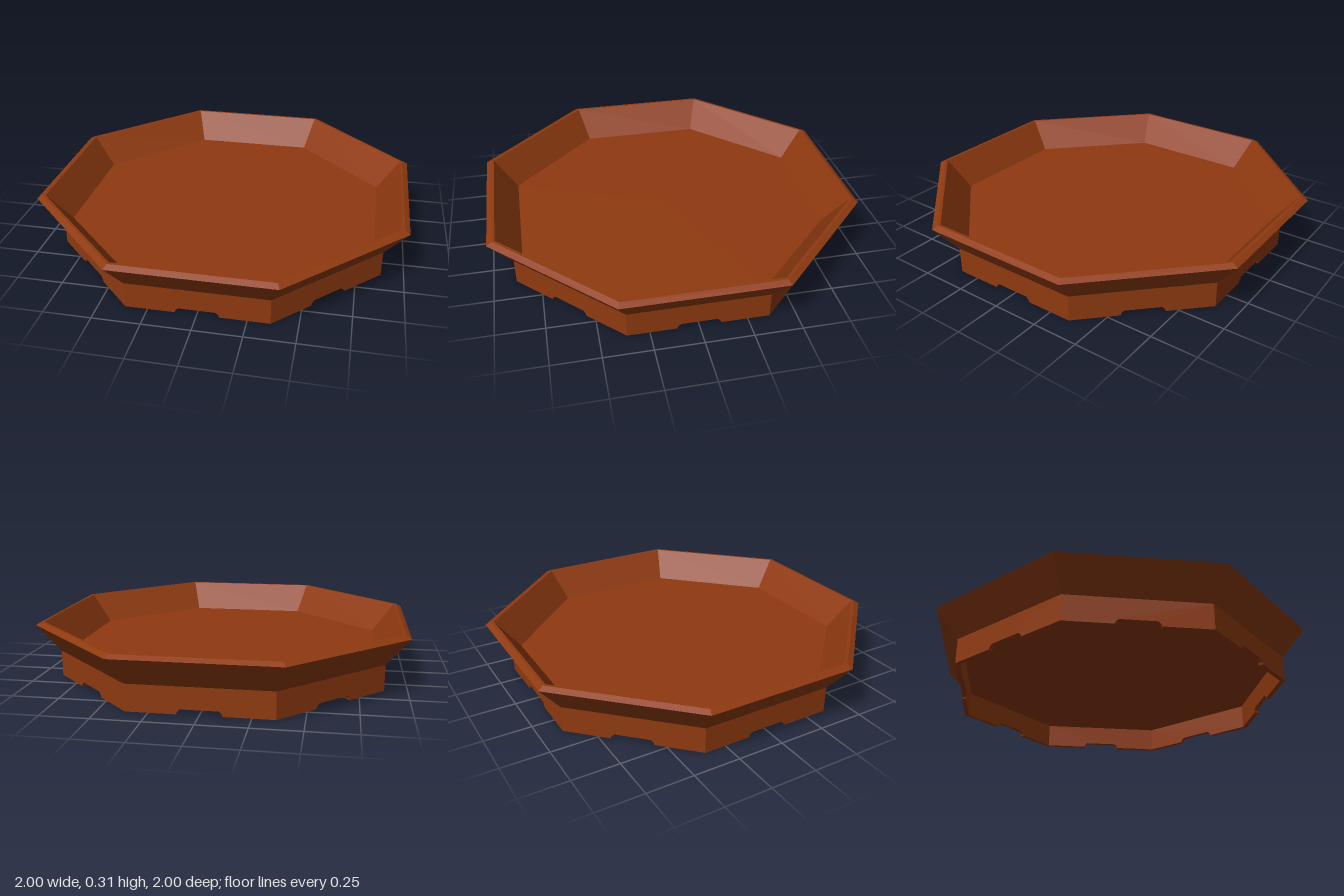
import * as THREE from 'three';

const SIDES = 8;
const HALF = Math.PI / SIDES;

export function createModel() {
  const group = new THREE.Group();
  group.name = 'octagonalTray';

  const terracotta = new THREE.MeshStandardMaterial({ color: 0x8f3a10 });
  terracotta.name = 'terracotta';

  // Dish: eight-sided profile given as [distance to flat side, height]
  const profile = [
    [0, 0.14], [0.88, 0.14], [1, 0.293], [0.972, 0.31],
    [0.957, 0.31], [0.833, 0.15], [0, 0.15],
  ].map(([a, y]) => new THREE.Vector2(a / Math.cos(HALF), y));
  const dishGeometry = new THREE.LatheGeometry(profile, SIDES, HALF).toNonIndexed();
  dishGeometry.computeVertexNormals();
  const dish = new THREE.Mesh(dishGeometry, terracotta);
  dish.name = 'dish';
  group.add(dish);

  // Foot panel: an upright wall with a shallow chamfered drainage notch
  const outer = 0.88, thickness = 0.025, height = 0.14;
  const w = outer * Math.tan(HALF);
  const shape = new THREE.Shape([
    [-w, 0], [-0.112, 0], [-0.108, 0.012], [-0.094, 0.026],
    [0.094, 0.026], [0.108, 0.012], [0.112, 0], [w, 0], [w, height], [-w, height],
  ].map(([x, y]) => new THREE.Vector2(x, y)));
  const panelGeometry = new THREE.ExtrudeGeometry(shape, { depth: thickness, bevelEnabled: false });
  panelGeometry.translate(0, 0, outer - thickness);

  // Mitre the panel ends so neighbours meet cleanly
  const pos = panelGeometry.attributes.position;
  for (let i = 0; i < pos.count; i++) {
    const x = pos.getX(i);
    if (Math.abs(x) > 0.3) pos.setX(i, Math.sign(x) * pos.getZ(i) * Math.tan(HALF));
  }
  panelGeometry.computeVertexNormals();

  // Ring of foot panels
  const foot = new THREE.Group();
  foot.name = 'foot';
  for (let i = 0; i < SIDES; i++) {
    const panel = new THREE.Mesh(panelGeometry, terracotta);
    panel.name = `footPanel${i + 1}`;
    panel.rotation.y = i * 2 * HALF;
    foot.add(panel);
  }
  group.add(foot);

  return group;
}
